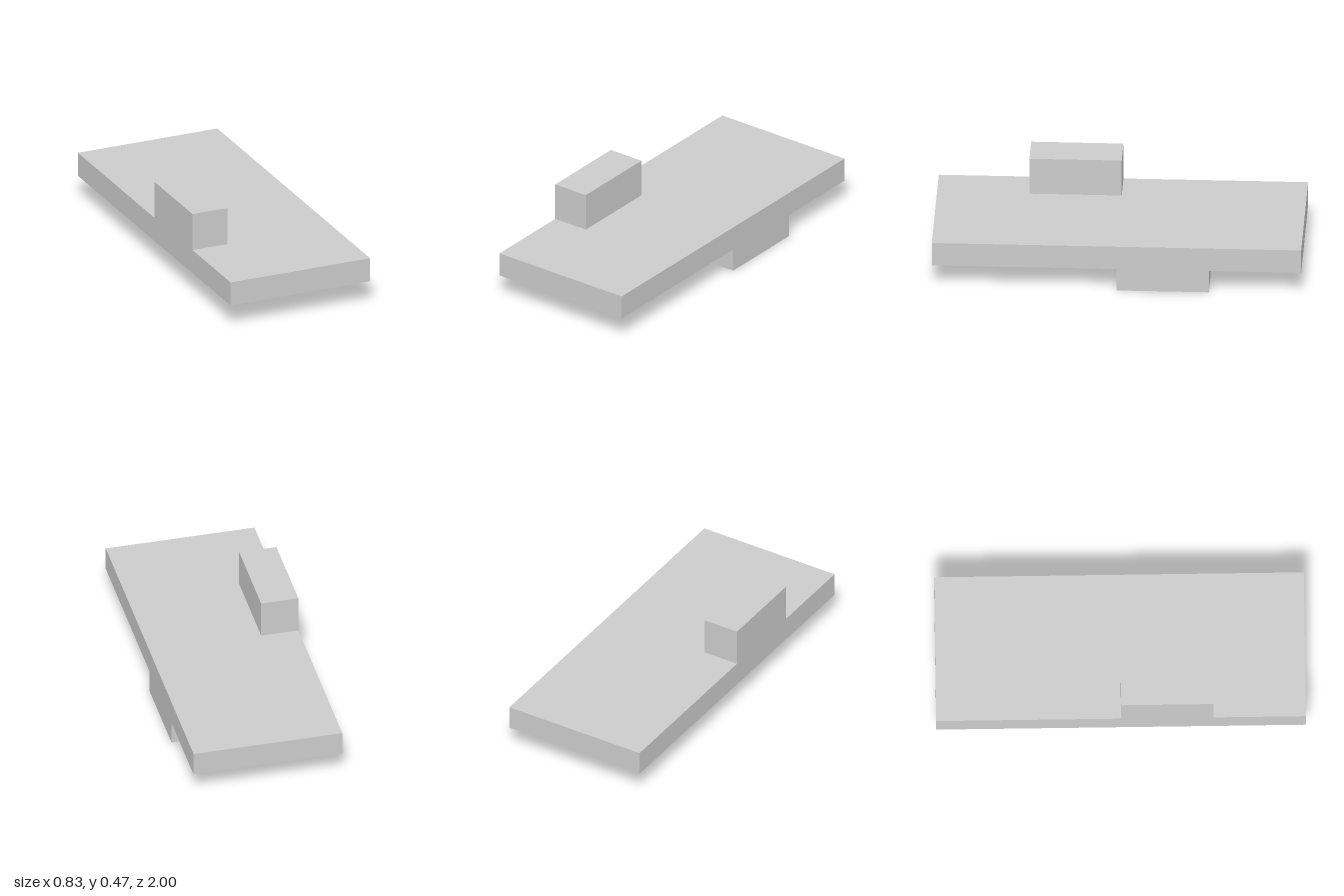
import * as THREE from 'three';

export function createModel() {
  const model = new THREE.Group();
  const material = new THREE.MeshStandardMaterial({ color: 0xcccccc, flatShading: true });

  // Box given by its extents along each axis
  const addBox = (name, [x0, x1], [y0, y1], [z0, z1]) => {
    const mesh = new THREE.Mesh(new THREE.BoxGeometry(x1 - x0, y1 - y0, z1 - z0), material);
    mesh.position.set((x0 + x1) / 2, (y0 + y1) / 2, (z0 + z1) / 2);
    mesh.name = name;
    model.add(mesh);
  };

  const halfWidth = 0.414, inner = 0.207;
  const bottom = 0.129, top = 0.264, height = 0.475;

  // Long flat slab
  addBox('slab', [-halfWidth, halfWidth], [bottom, top], [-1, 1]);
  // Block on top, flush with the right edge
  addBox('upperBlock', [-halfWidth, -inner], [top, height], [0, 0.5]);
  // Block underneath, flush with the left edge
  addBox('lowerBlock', [inner, halfWidth], [0, bottom], [-0.5, 0]);

  return model;
}
